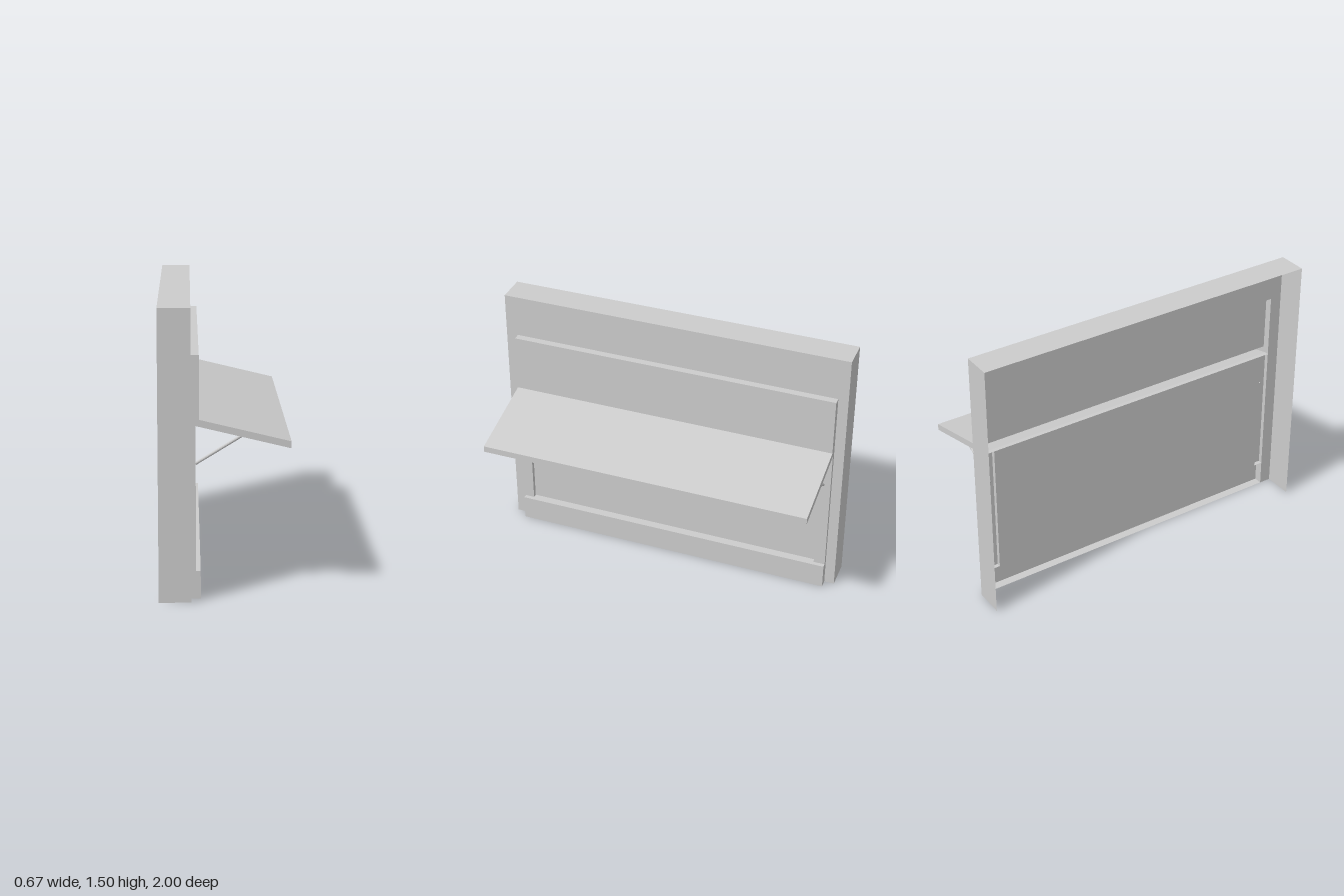
import * as THREE from 'three';

const mat = new THREE.MeshStandardMaterial({ color: 0xcccccc, flatShading: true, side: THREE.DoubleSide });

// Main depths (x) and the span of the opening (z)
const BACK = -0.337, WALL = -0.171, JAMB = -0.147;
const TOP = 1.503, OPEN_TOP = 1.26, SILL_TOP = 0.145, LEDGE = 0.9;
const Z0 = -0.943, Z1 = 0.932, INNER = 0.878;

function add(parent, name, geometry) {
  const mesh = new THREE.Mesh(geometry, mat);
  mesh.name = name;
  parent.add(mesh);
  return mesh;
}

const outline = (points) => new THREE.Shape(points.map(([a, b]) => new THREE.Vector2(a, b)));

// Open sheet: an x-y profile (listed top to bottom on the +x side) swept along z
function sheet(points, z0, z1) {
  const pos = [];
  for (let i = 0; i < points.length - 1; i++) {
    const [ax, ay] = points[i], [bx, by] = points[i + 1];
    pos.push(ax, ay, z0, ax, ay, z1, bx, by, z1, ax, ay, z0, bx, by, z1, bx, by, z0);
  }
  const g = new THREE.BufferGeometry();
  g.setAttribute('position', new THREE.Float32BufferAttribute(pos, 3));
  g.computeVertexNormals();
  return g;
}

// Flat cap in the x-y plane, facing +z or -z
function cap(points, z, facing) {
  const g = new THREE.ShapeGeometry(outline(points));
  if (facing < 0) {
    const idx = g.index.array;
    for (let i = 0; i < idx.length; i += 3) [idx[i], idx[i + 1]] = [idx[i + 1], idx[i]];
    g.computeVertexNormals();
  }
  return g.translate(0, 0, z);
}

// Swept sheet closed by a cap at both ends
function cappedSheet(parent, name, points, capPoints = points) {
  const part = new THREE.Group();
  part.name = name;
  add(part, name + 'Skin', sheet(points, Z0, Z1));
  add(part, name + 'EndLeft', cap(capPoints, Z1, 1));
  add(part, name + 'EndRight', cap(capPoints, Z0, -1));
  parent.add(part);
}

export function createModel() {
  const model = new THREE.Group();
  model.name = 'serviceCounter';

  // Wall shell, open at the back and underneath
  const wall = new THREE.Group();
  wall.name = 'wall';
  model.add(wall);
  add(wall, 'wallTop', sheet([[BACK, TOP], [WALL, TOP]], -1, 1));
  const end = [[BACK, 0], [WALL, 0], [WALL, TOP], [BACK, TOP]];
  for (const s of [-1, 1]) add(wall, s > 0 ? 'wallEndLeft' : 'wallEndRight', cap(end, s, s));

  // Wall front with the opening cut up from the floor (shape x is -z)
  const front = outline([[-1, 0], [-Z1, 0], [-Z1, OPEN_TOP], [-Z0, OPEN_TOP], [-Z0, 0], [1, 0], [1, TOP], [-1, TOP]]);
  add(wall, 'wallFront', new THREE.ShapeGeometry(front).rotateY(Math.PI / 2).translate(WALL, 0, 0));

  // Raised upper panel that runs into the sloping shelf
  const upper = [[WALL, OPEN_TOP], [-0.13, OPEN_TOP], [-0.13, 0.932], [0.335, 0.82], [0.335, 0.784], [JAMB, LEDGE], [WALL, LEDGE]];
  cappedSheet(model, 'upperPanelAndShelf', upper);

  // Recessed lower panel
  add(model, 'lowerPanel', sheet([[WALL, LEDGE], [WALL, SILL_TOP]], -INNER, INNER));

  // Bottom rail
  cappedSheet(model, 'bottomRail', [[WALL, SILL_TOP], [-0.123, SILL_TOP], [-0.123, 0], [WALL, 0]]);

  for (const s of [-1, 1]) {
    const side = s > 0 ? 'Left' : 'Right';
    const outer = s > 0 ? Z1 : Z0;

    // Jamb: front face and two returns, open at the back
    const jamb = new THREE.Group();
    jamb.name = 'jamb' + side;
    const section = [[WALL, SILL_TOP], [JAMB, SILL_TOP], [JAMB, LEDGE], [WALL, LEDGE]];
    add(jamb, 'jambFace', sheet([[JAMB, LEDGE], [JAMB, SILL_TOP]], Math.min(outer, s * INNER), Math.max(outer, s * INNER)));
    add(jamb, 'jambOuterSide', cap(section, outer, s));
    add(jamb, 'jambInnerSide', cap(section, s * INNER, -s));
    model.add(jamb);

    // Diagonal strut under the shelf
    const a = new THREE.Vector3(JAMB - 0.002, 0.7, s * 0.9);
    const b = new THREE.Vector3(0.09, 0.847, s * 0.9);
    const strut = add(model, 'strut' + side, new THREE.CylinderGeometry(0.008, 0.008, a.distanceTo(b), 12));
    strut.position.copy(a).lerp(b, 0.5);
    strut.quaternion.setFromUnitVectors(new THREE.Vector3(0, 1, 0), b.clone().sub(a).normalize());
  }

  return model;
}
